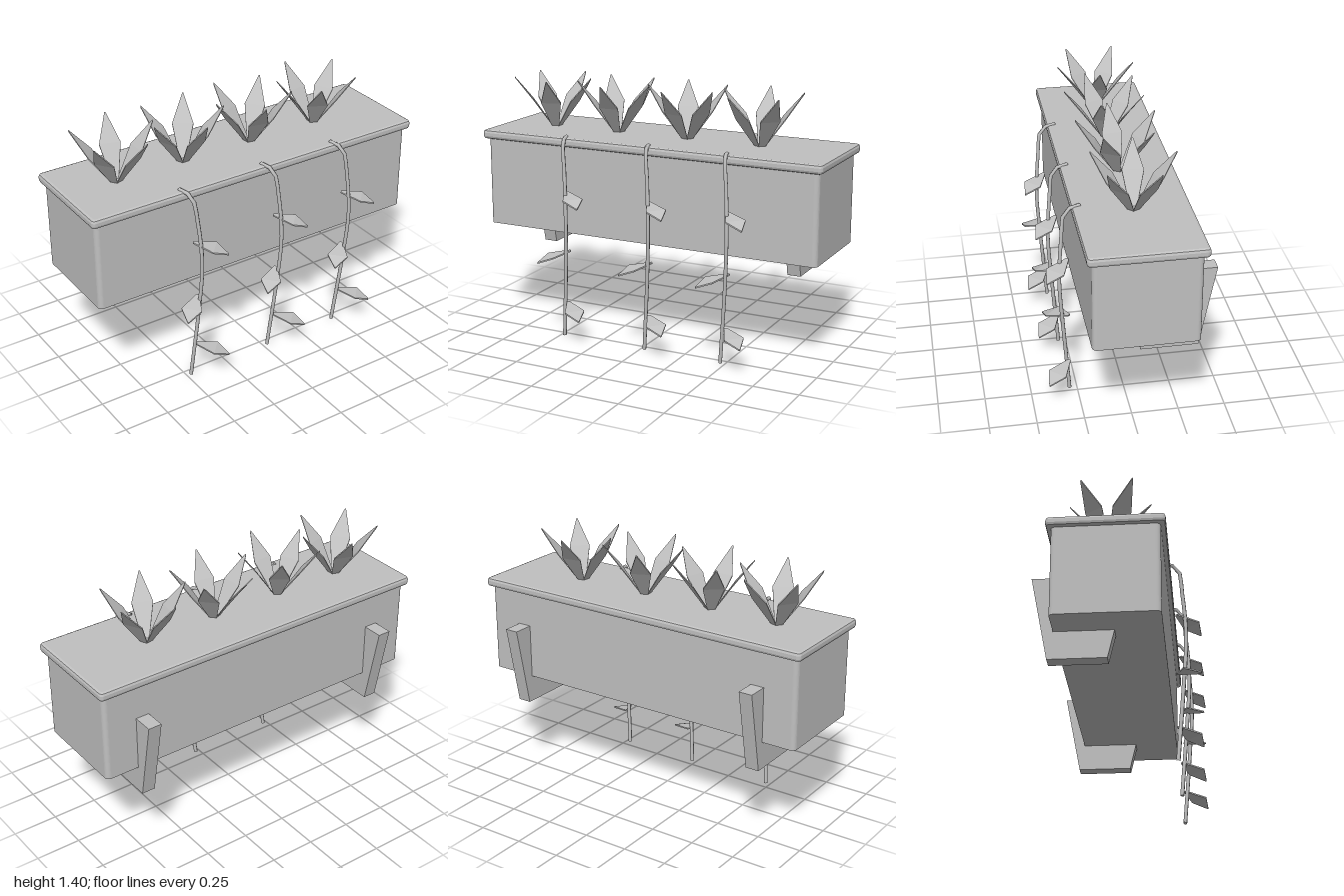
import * as THREE from 'three';

const grey = new THREE.MeshStandardMaterial({ color: 0xc0c0c0 });
grey.name = 'plain grey';
const BOX_Z = -0.033;

function add(parent, geometry, name) {
  const mesh = new THREE.Mesh(geometry, grey);
  mesh.name = name;
  parent.add(mesh);
  return mesh;
}

function roundedRect(hw, hd, r) {
  const s = new THREE.Shape();
  s.moveTo(hw, -hd + r);
  s.lineTo(hw, hd - r);
  s.absarc(hw - r, hd - r, r, 0, Math.PI / 2);
  s.absarc(-hw + r, hd - r, r, Math.PI / 2, Math.PI);
  s.absarc(-hw + r, -hd + r, r, Math.PI, Math.PI * 1.5);
  s.absarc(hw - r, -hd + r, r, Math.PI * 1.5, Math.PI * 2);
  return s;
}

// Thin pointed leaf growing along +x; each section is [x, y, half width]
function leafGeometry(sections, t = 0.004) {
  const pos = [], idx = [];
  for (const [x, y, w] of sections) {
    pos.push(x, y - t, -w, x, y - t, w, x, y + t, w, x, y + t, -w);
  }
  const last = (sections.length - 1) * 4;
  for (let i = 0; i < last; i += 4) {
    for (let k = 0; k < 4; k++) {
      const a = i + k, b = i + (k + 1) % 4;
      idx.push(a, a + 4, b, b, a + 4, b + 4);
    }
  }
  idx.push(0, 1, 2, 0, 2, 3, last, last + 2, last + 1, last, last + 3, last + 2);
  const g = new THREE.BufferGeometry();
  g.setAttribute('position', new THREE.Float32BufferAttribute(pos, 3));
  g.setIndex(idx);
  const flat = g.toNonIndexed();
  flat.computeVertexNormals();
  return flat;
}

export function createModel() {
  const model = new THREE.Group();
  model.name = 'windowPlanter';

  // Trough with softened vertical corners
  const body = new THREE.ExtrudeGeometry(roundedRect(0.975, 0.273, 0.025),
    { depth: 0.5, bevelEnabled: false, curveSegments: 4 });
  body.rotateX(-Math.PI / 2).translate(0, 0.58, BOX_Z);
  add(model, body, 'trough');

  // Bevelled rim, closed at the top by the soil
  const rim = new THREE.ExtrudeGeometry(roundedRect(0.983, 0.283, 0.006), {
    depth: 0.018, bevelThickness: 0.016, bevelSize: 0.016, bevelSegments: 2, curveSegments: 2,
  });
  rim.rotateX(-Math.PI / 2).translate(0, 1.082, BOX_Z);
  add(model, rim, 'rimAndSoil');

  // Tapered mounting brackets, seen as [z, y] in profile
  const profile = new THREE.Shape([[0.335, 0.43], [0.42, 0.88], [0.25, 0.88], [0.25, 0.6],
    [-0.004, 0.6], [0.035, 0.43]].map(([z, y]) => new THREE.Vector2(z, y)));
  for (const x of [-0.7525, 0.7525]) {
    const g = new THREE.ExtrudeGeometry(profile, { depth: 0.075, bevelEnabled: false });
    g.translate(0, 0, -0.0375).rotateY(Math.PI / 2);
    add(model, g, 'bracket').position.x = x;
  }

  // Rosette plants, each turned a little further than the last
  const blade = leafGeometry([[0.012, -0.015, 0.016], [0.125, 0.15, 0.056], [0.226, 0.278, 0.003]]);
  [-0.7, -0.3, 0.12, 0.545].forEach((x, i) => {
    const plant = new THREE.Group();
    plant.name = 'plant';
    plant.position.set(x, 1.115, -0.037);
    for (let k = 0; k < 5; k++) {
      add(plant, blade, 'plantLeaf').rotation.y = -i * 0.26 - k * Math.PI * 2 / 5;
    }
    model.add(plant);
  });

  // Trailing vines with alternating leaves
  const path = new THREE.CatmullRomCurve3([
    [-0.045, 1.117, 0.22], [-0.02, 1.1, 0.3], [0.0, 0.95, 0.325],
    [0.012, 0.71, 0.34], [0.0, 0.455, 0.325], [-0.038, 0.003, 0.29],
  ].map((p) => new THREE.Vector3(...p)), false, 'centripetal');
  const stem = new THREE.TubeGeometry(path, 20, 0.011, 6, false);
  const vineLeaf = leafGeometry([[0, 0, 0.008], [0.113, -0.022, 0.055], [0.184, -0.055, 0.003]]);
  for (const x of [-0.4375, 0.0625, 0.5125]) {
    const vine = new THREE.Group();
    vine.name = 'vine';
    vine.position.x = x;
    add(vine, stem, 'vineStem');
    [0.828, 0.498, 0.198].forEach((y, i) => {
      const side = i % 2 ? -1 : 1;
      const leaf = add(vine, vineLeaf, 'vineLeaf');
      leaf.position.set(-0.01 * side, y, 0.292);
      leaf.rotation.y = side > 0 ? -0.74 : -Math.PI + 0.74;
    });
    // Cut ends of the stem
    for (const t of [0, 1]) {
      const cap = add(vine, new THREE.CircleGeometry(0.011, 6), 'vineEnd');
      const p = path.getPoint(t);
      cap.position.copy(p);
      cap.lookAt(p.clone().addScaledVector(path.getTangent(t), t ? 1 : -1));
    }
    model.add(vine);
  }
  return model;
}
